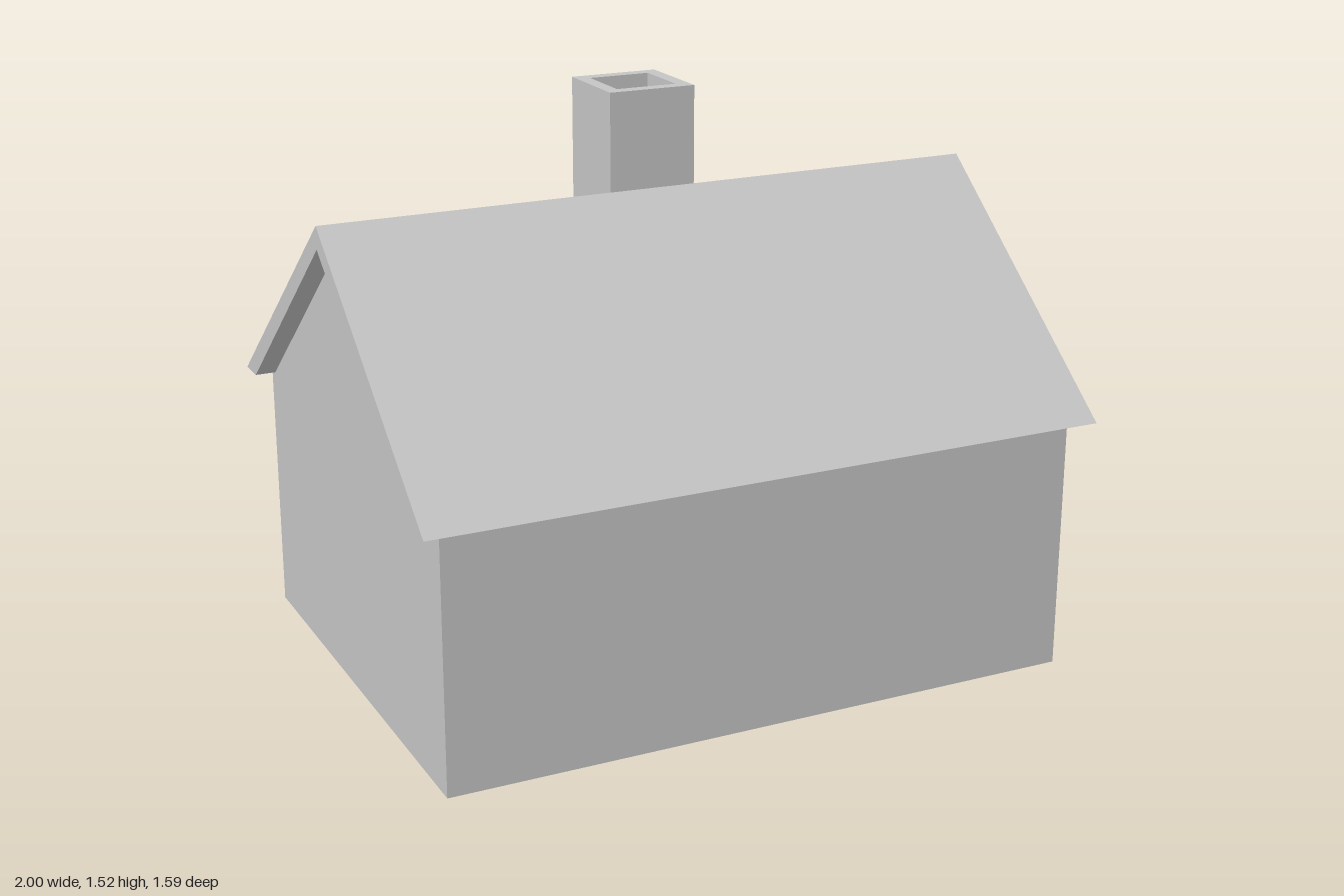
import * as THREE from 'three';

const shapeOf = (pts) => new THREE.Shape(pts.map(([a, b]) => new THREE.Vector2(a, b)));

export function createModel() {
  const house = new THREE.Group();
  house.name = 'house';
  const grey = new THREE.MeshStandardMaterial({ color: 0xc4c4c4, side: THREE.DoubleSide });
  grey.name = 'plain grey';

  const add = (name, geometry, parent) => {
    const mesh = new THREE.Mesh(geometry, grey);
    mesh.name = name;
    parent.add(mesh);
    return mesh;
  };
  // Flat panel drawn in (z, y) and stood at a given x, facing outward along side
  const sidePanel = (pts, x, side) => {
    const g = new THREE.ShapeGeometry(shapeOf(pts.map(([z, y]) => [-side * z, y])));
    return g.rotateY(side * Math.PI / 2).translate(x, 0, 0);
  };
  // Flat panel facing +z (side 1) or -z (side -1)
  const facePanel = (x0, x1, y0, y1, z, side) => {
    const g = new THREE.PlaneGeometry(x1 - x0, y1 - y0);
    if (side < 0) g.rotateY(Math.PI);
    return g.translate((x0 + x1) / 2, (y0 + y1) / 2, z);
  };

  // Hollow walls, open underneath
  const walls = new THREE.Group();
  walls.name = 'walls';
  house.add(walls);
  const wx = 0.94, front = 0.74, back = -0.675, eave = 0.745, ridgeZ = 0.03;
  add('frontWall', facePanel(-wx, wx, 0, eave, front, 1), walls);
  add('backWall', facePanel(-wx, wx, 0, eave, back, -1), walls);
  const gable = [[back, 0], [front, 0], [front, eave], [0.715, eave],
    [ridgeZ, 1.295], [-0.645, eave], [back, eave]];
  add('leftGable', sidePanel(gable, wx, 1), walls);
  add('rightGable', sidePanel(gable, -wx, -1), walls);

  // Chevron roof with level-cut eaves
  const roof = new THREE.ExtrudeGeometry(shapeOf([
    [0.795, eave], [ridgeZ, 1.36], [-0.735, eave],
    [-0.645, eave], [ridgeZ, 1.295], [0.715, eave],
  ]), { depth: 2, bevelEnabled: false });
  add('roof', roof.rotateY(-Math.PI / 2).translate(1, 0, 0), house);

  // Chimney shell, running down the back wall and through the roof edge
  const chimney = new THREE.Group();
  chimney.name = 'chimney';
  house.add(chimney);
  const x0 = 0.105, x1 = 0.39, zb = -0.795, zf = -0.51, top = 1.525;
  const side = [[zb, 0], [back, 0], [back, 0.77], [zf, 0.9], [zf, top], [zb, top]];
  add('chimneyLeft', sidePanel(side, x1, 1), chimney);
  add('chimneyRight', sidePanel(side, x0, -1), chimney);
  add('chimneyBack', facePanel(x0, x1, 0, top, zb, -1), chimney);
  add('chimneyFront', facePanel(x0, x1, 0.9, top, zf, 1), chimney);

  // Rim around the flue
  const m = 0.043;
  const rim = shapeOf([[x0, -zf], [x0, -zb], [x1, -zb], [x1, -zf]]);
  rim.holes.push(new THREE.Path([
    [x0 + m, -zf + m], [x1 - m, -zf + m], [x1 - m, -zb - m], [x0 + m, -zb - m],
  ].map(([a, b]) => new THREE.Vector2(a, b))));
  add('chimneyRim', new THREE.ShapeGeometry(rim).rotateX(-Math.PI / 2).translate(0, top, 0), chimney);

  // Flue pocket: four inward walls and a floor
  const depth = 0.25, cx = (x0 + x1) / 2, cz = (zb + zf) / 2;
  const ix = x1 - x0 - 2 * m, iz = zf - zb - 2 * m;
  const fz = cz - iz / 2, nz = cz + iz / 2;
  const pocket = [[fz, top - depth], [nz, top - depth], [nz, top], [fz, top]];
  add('flueLeft', sidePanel(pocket, cx + ix / 2, -1), chimney);
  add('flueRight', sidePanel(pocket, cx - ix / 2, 1), chimney);
  add('flueBack', facePanel(cx - ix / 2, cx + ix / 2, top - depth, top, fz, 1), chimney);
  add('flueFront', facePanel(cx - ix / 2, cx + ix / 2, top - depth, top, nz, -1), chimney);
  add('flueFloor', new THREE.PlaneGeometry(ix, iz).rotateX(-Math.PI / 2)
    .translate(cx, top - depth, cz), chimney);

  return house;
}
